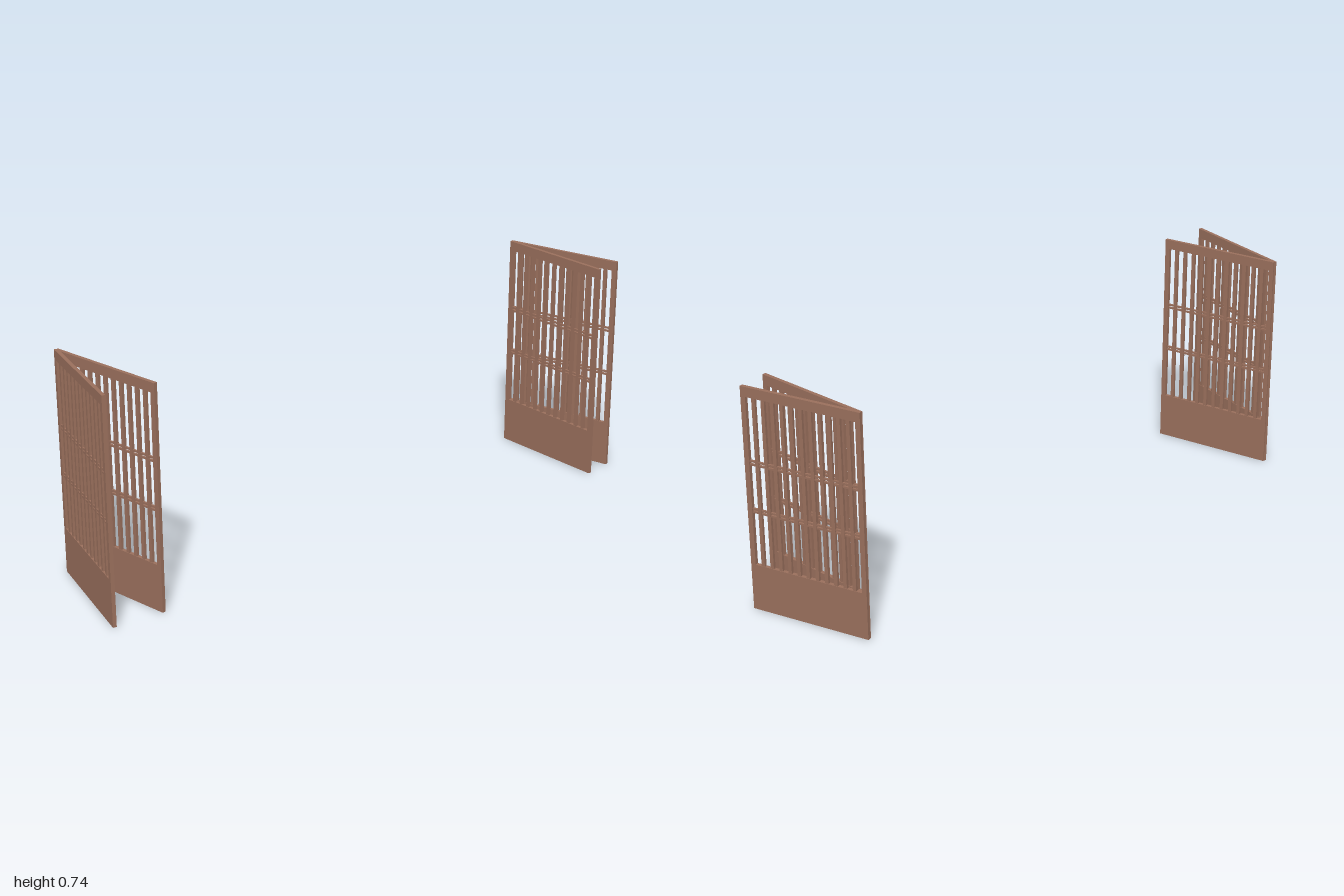
import * as THREE from 'three';

const HEIGHT = 0.742, THICK = 0.012, STILE = 0.0165;
const OPEN_BOTTOM = 0.155, OPEN_TOP = 0.71;
const SLATS = 11, SLAT_WIDTH = 0.012;

export function createModel() {
  const wood = new THREE.MeshStandardMaterial({ color: 0x996f5c });
  wood.name = 'brown wood';
  const model = new THREE.Group();
  model.name = 'foldingLatticeDoors';

  function addBox(parent, name, w, h, d, x, y) {
    const mesh = new THREE.Mesh(new THREE.BoxGeometry(w, h, d), wood);
    mesh.name = name;
    mesh.position.set(x, y, 0);
    parent.add(mesh);
  }

  // One door leaf, standing between two floor points [x, z]
  function addPanel(name, [x0, z0], [x1, z1]) {
    const panel = new THREE.Group();
    panel.name = name;
    const length = Math.hypot(x1 - x0, z1 - z0);
    const half = length / 2, inner = half - STILE;

    // Frame and solid lower board, with one opening
    const outline = new THREE.Shape();
    outline.moveTo(-half, 0).lineTo(half, 0).lineTo(half, HEIGHT).lineTo(-half, HEIGHT).closePath();
    const hole = new THREE.Path();
    hole.moveTo(-inner, OPEN_BOTTOM).lineTo(-inner, OPEN_TOP).lineTo(inner, OPEN_TOP).lineTo(inner, OPEN_BOTTOM).closePath();
    outline.holes.push(hole);
    const geometry = new THREE.ExtrudeGeometry(outline, { depth: THICK, bevelEnabled: false });
    geometry.translate(0, 0, -THICK / 2);
    const frame = new THREE.Mesh(geometry, wood);
    frame.name = 'frame';
    panel.add(frame);

    // Upright slats
    const step = (2 * inner + SLAT_WIDTH) / (SLATS + 1);
    for (let i = 1; i <= SLATS; i++) {
      const x = -inner - SLAT_WIDTH / 2 + i * step;
      addBox(panel, 'slat', SLAT_WIDTH, OPEN_TOP - OPEN_BOTTOM, 0.009, x, (OPEN_TOP + OPEN_BOTTOM) / 2);
    }

    // Paired cross rails
    for (const y of [0.333, 0.343, 0.491, 0.502]) {
      addBox(panel, 'crossRail', 2 * inner, 0.006, 0.006, 0, y);
    }

    panel.position.set((x0 + x1) / 2, 0, (z0 + z1) / 2);
    panel.rotation.y = -Math.atan2(z1 - z0, x1 - x0);
    model.add(panel);
  }

  // Two folded pairs, each hinged at the back
  addPanel('rightOuterPanel', [-0.994, 0.19], [-0.922, -0.213]);
  addPanel('rightInnerPanel', [-0.92, -0.212], [-0.826, 0.196]);
  addPanel('leftInnerPanel', [0.861, -0.197], [0.894, 0.212]);
  addPanel('leftOuterPanel', [0.862, -0.198], [0.994, 0.19]);

  return model;
}
